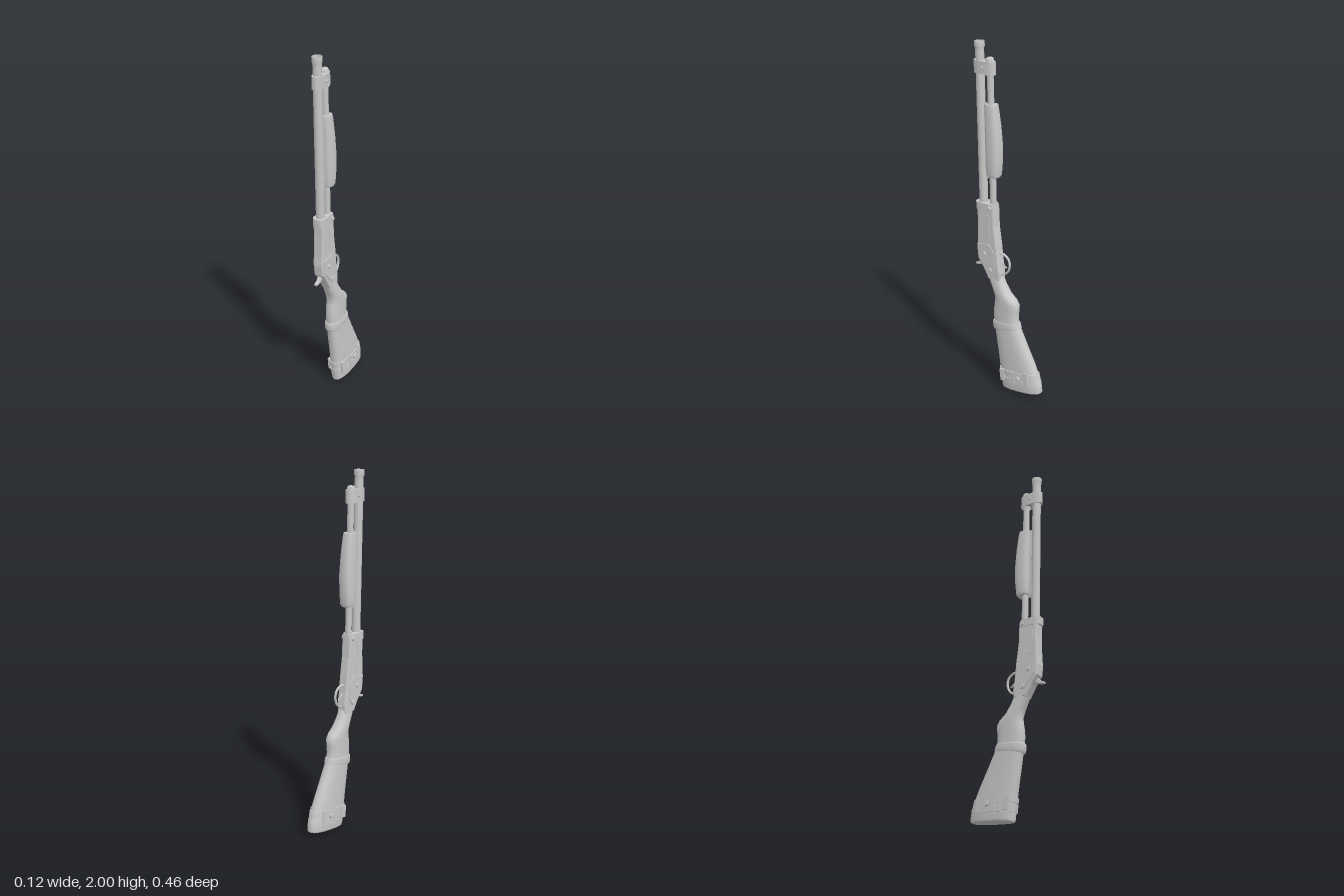
import * as THREE from 'three';

export function createModel() {
  const model = new THREE.Group();
  const grey = new THREE.MeshStandardMaterial({ color: 0xc8c8c8 });
  grey.name = 'plain grey';

  const add = (name, geometry) => {
    const mesh = new THREE.Mesh(geometry, grey);
    mesh.name = name;
    model.add(mesh);
    return mesh;
  };

  // Closed skin through rounded rings, bottom to top: [yFront, zFront, yBack, zBack, halfWidth]
  const loft = (name, rings, power = 0.8, n = 28) => {
    const pos = [], idx = [];
    const soft = v => Math.sign(v) * Math.abs(v) ** power;
    const ringAt = ([yf, zf, yb, zb, w]) => {
      for (let i = 0; i < n; i++) {
        const t = i / n * Math.PI * 2, k = (1 + soft(Math.cos(t))) / 2;
        pos.push(w * soft(Math.sin(t)), yb + (yf - yb) * k, zb + (zf - zb) * k);
      }
    };
    rings.forEach(ringAt);
    for (let r = 0; r < rings.length - 1; r++) for (let i = 0; i < n; i++) {
      const a = r * n + i, b = r * n + (i + 1) % n;
      idx.push(a, b, a + n, b, b + n, a + n);
    }
    // Separate cap corners keep the end edges crisp
    [rings[0], rings[rings.length - 1]].forEach((ring, end) => {
      const s = pos.length / 3;
      ringAt(ring);
      for (let i = 1; i < n - 1; i++) idx.push(s, s + i + (end ? 0 : 1), s + i + (end ? 1 : 0));
    });
    const g = new THREE.BufferGeometry();
    g.setAttribute('position', new THREE.Float32BufferAttribute(pos, 3));
    g.setIndex(idx);
    g.computeVertexNormals();
    return add(name, g);
  };

  // Side profile of [z, y] points, extruded across x with a bevel
  const plate = (name, points, halfWidth, bevel) => {
    const shape = new THREE.Shape(points.map(([z, y]) => new THREE.Vector2(-z, y)));
    const depth = 2 * (halfWidth - bevel);
    const g = new THREE.ExtrudeGeometry(shape, {
      depth, bevelSize: bevel, bevelThickness: bevel, bevelOffset: -bevel, bevelSegments: 3,
    });
    g.translate(0, 0, -depth / 2).rotateY(Math.PI / 2);
    return add(name, g);
  };

  // Lathed part standing at (y, z), leaning slightly forward
  const lean = 0.024;
  const turned = (name, profile, y, z) => {
    const mesh = add(name, new THREE.LatheGeometry(profile.map(p => new THREE.Vector2(...p)), 24));
    mesh.position.set(0, y, z);
    mesh.rotation.x = lean;
    return mesh;
  };

  const pin = (name, x, y, z, r, length) => {
    const mesh = add(name, new THREE.CylinderGeometry(r * 0.85, r, length, 14));
    mesh.rotation.z = x > 0 ? -Math.PI / 2 : Math.PI / 2;
    mesh.position.set(x, y, z);
  };

  // Barrel with open muzzle
  turned('barrel', [[0, 0], [0.024, 0], [0.024, 0.86], [0.024, 0.885], [0.028, 0.89], [0.028, 0.918],
    [0.025, 0.92], [0.019, 0.92], [0.018, 0.85], [0, 0.85]], 1.08, 0.178);

  // Magazine tube with stepped end cap
  turned('magazineTube', [[0, 0], [0.018, 0], [0.018, 0.74], [0.026, 0.745], [0.026, 0.8],
    [0.022, 0.805], [0.022, 0.83], [0.017, 0.84], [0, 0.84]], 1.08, 0.11);

  // Clamp holding barrel and tube together
  loft('frontBand', [[1.83, 0.232, 1.83, 0.096, 0.029], [1.9, 0.233, 1.9, 0.098, 0.029]], 0.75);
  for (const side of [-1, 1]) pin('bandScrew', side * 0.03, 1.865, 0.163, 0.01, 0.012);

  // Sliding fore-end and its bar
  loft('foreEnd', [
    [1.27, 0.138, 1.265, 0.075, 0.032], [1.285, 0.144, 1.28, 0.066, 0.038], [1.35, 0.147, 1.35, 0.06, 0.041],
    [1.45, 0.15, 1.45, 0.059, 0.041], [1.55, 0.152, 1.55, 0.068, 0.038], [1.65, 0.157, 1.65, 0.082, 0.033],
    [1.67, 0.156, 1.67, 0.086, 0.03],
  ], 0.75);
  const bar = add('actionBar', new THREE.BoxGeometry(0.016, 0.42, 0.012));
  bar.position.set(0, 1.46, 0.155);
  bar.rotation.x = lean;

  // Receiver
  plate('receiver', [[0.208, 1.1], [0.204, 1.0], [0.206, 0.88], [0.21, 0.83], [0.203, 0.77], [0.165, 0.72],
    [0.13, 0.66], [0.05, 0.66], [0.048, 0.71], [0.06, 0.79], [0.07, 0.88], [0.085, 0.98], [0.09, 1.1]], 0.031, 0.012);
  loft('receiverCollar', [[1.065, 0.218, 1.065, 0.087, 0.035], [1.11, 0.22, 1.11, 0.09, 0.035]], 0.55);

  // Side panels, port and screws
  for (const side of [-1, 1]) {
    const panel = plate('lockPlate', [[0.2, 0.86], [0.12, 0.875], [0.085, 0.83], [0.08, 0.74], [0.12, 0.7], [0.19, 0.78]], 0.004, 0.0015);
    panel.position.x = side * 0.031;
    pin('collarScrew', side * 0.036, 1.085, 0.115, 0.013, 0.012);
    pin('upperScrew', side * 0.036, 0.81, 0.15, 0.015, 0.014);
    pin('lowerScrew', side * 0.036, 0.72, 0.11, 0.015, 0.014);
  }
  const port = add('ejectionPort', new THREE.BoxGeometry(0.008, 0.15, 0.035));
  port.position.set(-0.03, 0.97, 0.165);
  const gate = add('loadingGate', new THREE.BoxGeometry(0.008, 0.13, 0.025));
  gate.position.set(0.03, 0.98, 0.125);

  // Hammer spur
  plate('hammer', [[0.16, 0.78], [0.19, 0.76], [0.215, 0.735], [0.234, 0.728], [0.232, 0.718], [0.205, 0.722], [0.16, 0.745]], 0.01, 0.003);

  // Trigger and guard
  const curve = pts => new THREE.CatmullRomCurve3(pts.map(([z, y]) => new THREE.Vector3(0, y, z)));
  const guard = add('triggerGuard', new THREE.TubeGeometry(curve([[0.07, 0.825], [0.035, 0.822], [0.006, 0.8],
    [-0.002, 0.765], [0.008, 0.73], [0.03, 0.708], [0.06, 0.7]]), 28, 0.006, 8));
  guard.scale.x = 1.3;
  add('trigger', new THREE.TubeGeometry(curve([[0.065, 0.775], [0.045, 0.765], [0.03, 0.75], [0.018, 0.745]]), 12, 0.005, 8));

  // Stock: butt, waist and grip
  loft('stock', [
    [0.005, 0.038, 0.035, -0.222, 0.042], [0.018, 0.041, 0.045, -0.23, 0.047], [0.09, 0.049, 0.1, -0.222, 0.049],
    [0.2, 0.065, 0.2, -0.178, 0.046], [0.3, 0.081, 0.3, -0.124, 0.044], [0.4, 0.096, 0.4, -0.073, 0.041],
    [0.45, 0.102, 0.45, -0.058, 0.04], [0.49, 0.1, 0.5, -0.061, 0.041], [0.53, 0.094, 0.535, -0.064, 0.041],
    [0.56, 0.09, 0.56, -0.045, 0.041], [0.6, 0.103, 0.59, -0.006, 0.039], [0.65, 0.128, 0.64, 0.027, 0.034],
    [0.7, 0.15, 0.685, 0.046, 0.03],
  ], 0.8);

  // Strap around the wrist of the stock
  loft('wristStrap', [[0.36, 0.098, 0.4, -0.078, 0.044], [0.37, 0.105, 0.405, -0.076, 0.046],
    [0.405, 0.108, 0.425, -0.07, 0.046], [0.415, 0.102, 0.43, -0.067, 0.043]], 0.8);

  // Butt wraps
  const wrap = (name, y, h, grow) => loft(name, [0, h].map(d => {
    const t = y + d;
    return [t - 0.005, 0.037 + t * 0.14 + grow, t + 0.018, -0.237 + t * 0.27 - grow, 0.049 + grow];
  }), 0.8);
  wrap('buttWrapLower', 0.058, 0.03, 0.003);
  wrap('buttWrapUpper', 0.105, 0.028, 0.004);

  // Patches, buckles and side studs on the butt
  for (const side of [-1, 1]) {
    for (const [z, y, h] of [[0.015, 0.095, 0.07], [-0.06, 0.105, 0.075], [-0.15, 0.115, 0.08]]) {
      const buckle = add('buttBuckle', new THREE.BoxGeometry(0.012, h, 0.03));
      buckle.position.set(side * (z === -0.06 ? 0.049 : 0.044), y, z);
      buckle.rotation.x = 0.12;
    }
    pin('buttStud', side * 0.054, 0.11, -0.1, 0.016, 0.016);
  }
  return model;
}
